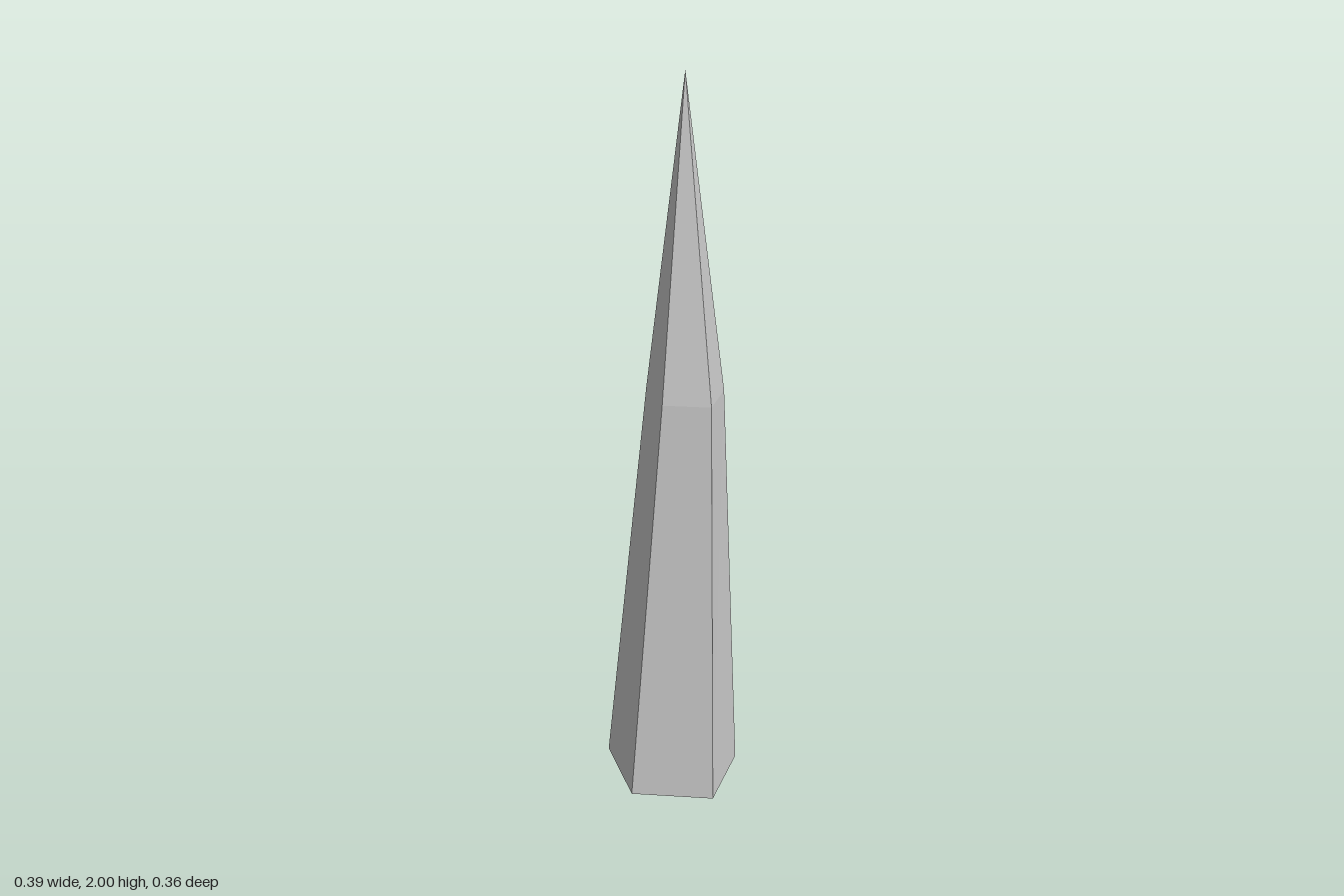
import * as THREE from 'three';

export function createModel() {
  // Irregular five-sided cross-sections as [x, z], going round from +x towards +z
  const base = [[0.195, 0.015], [0.033, 0.177], [-0.197, 0.084], [-0.176, -0.135], [0.067, -0.178]];
  const shoulder = [[0.125, -0.027], [0.033, 0.064], [-0.1, 0.012], [-0.088, -0.108], [0.051, -0.133]];
  const ring = (points, y) => points.map(([x, z]) => [x, y, z]);
  const low = ring(base, 0);
  const high = ring(shoulder, 1.15);
  const tip = [-0.04, 2, -0.071];

  const positions = [];
  const triangle = (a, b, c) => positions.push(...a, ...b, ...c);
  const n = base.length;
  for (let i = 0; i < n; i++) {
    const j = (i + 1) % n;
    // Tapering shaft
    triangle(low[j], low[i], high[i]);
    triangle(low[j], high[i], high[j]);
    // Leaning point
    triangle(high[j], high[i], tip);
    // Flat underside
    if (i > 0 && i < n - 1) triangle(low[0], low[i], low[j]);
  }

  const geometry = new THREE.BufferGeometry();
  geometry.setAttribute('position', new THREE.Float32BufferAttribute(positions, 3));
  geometry.computeVertexNormals();

  const crystal = new THREE.Mesh(
    geometry,
    new THREE.MeshStandardMaterial({ color: 0xcccccc, flatShading: true })
  );
  crystal.name = 'crystalSpike';

  const model = new THREE.Group();
  model.name = 'crystal';
  model.add(crystal);
  return model;
}
